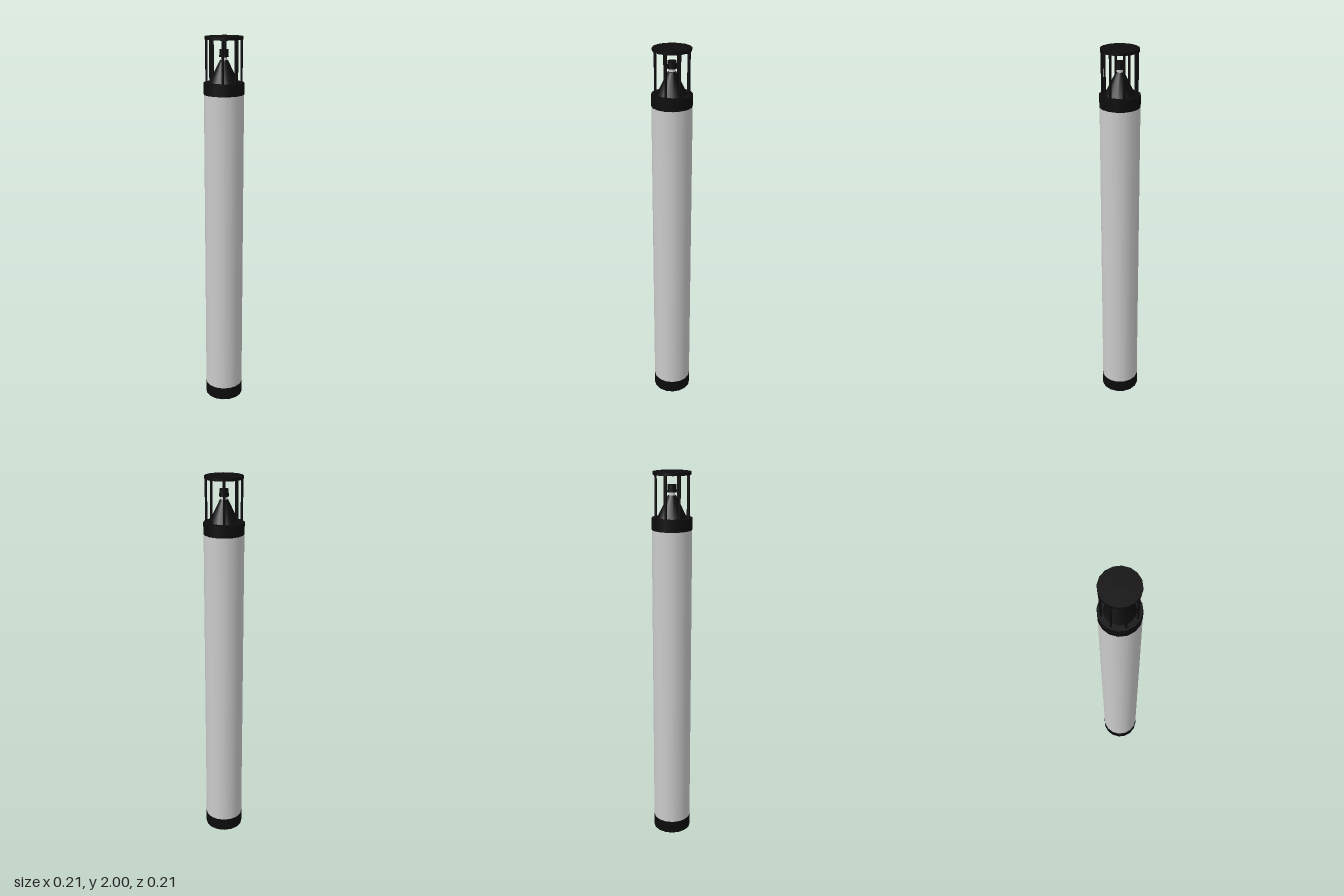
import * as THREE from 'three';

const SIDES = 16;
const grey = new THREE.MeshStandardMaterial({ color: 0xcccccc });
const black = new THREE.MeshStandardMaterial({ color: 0x0c0c0c });

// Round part spanning y0..y1, with its own bottom and top radius
function round(name, y0, y1, rBottom, rTop, material, sides = SIDES) {
  const mesh = new THREE.Mesh(new THREE.CylinderGeometry(rTop, rBottom, y1 - y0, sides), material);
  mesh.position.y = (y0 + y1) / 2;
  mesh.name = name;
  return mesh;
}

export function createModel() {
  const model = new THREE.Group();
  model.name = 'bollardLight';

  // Column with dark foot and collar
  model.add(
    round('foot', 0, 0.07, 0.103, 0.103, black),
    round('column', 0.07, 1.715, 0.102, 0.102, grey),
    round('collar', 1.715, 1.775, 0.103, 0.103, black),
  );

  // Lamp: conical reflector, pale neck and dark bulb holder
  const lamp = new THREE.Group();
  lamp.name = 'lamp';
  lamp.add(
    round('reflectorCone', 1.775, 1.885, 0.075, 0.02, black),
    round('lampNeck', 1.885, 1.9, 0.016, 0.016, grey),
    round('lampHead', 1.9, 1.937, 0.024, 0.022, black),
  );
  model.add(lamp);

  // Cage of slim posts carrying the cap
  const cage = new THREE.Group();
  cage.name = 'cage';
  const count = 8;
  for (let i = 0; i < count; i++) {
    const a = (i / count) * Math.PI * 2;
    const post = round('cagePost', 1.77, 1.99, 0.006, 0.006, black, 8);
    post.position.x = Math.sin(a) * 0.088;
    post.position.z = Math.cos(a) * 0.088;
    cage.add(post);
  }
  model.add(cage, round('cap', 1.985, 2, 0.096, 0.096, black));

  return model;
}
